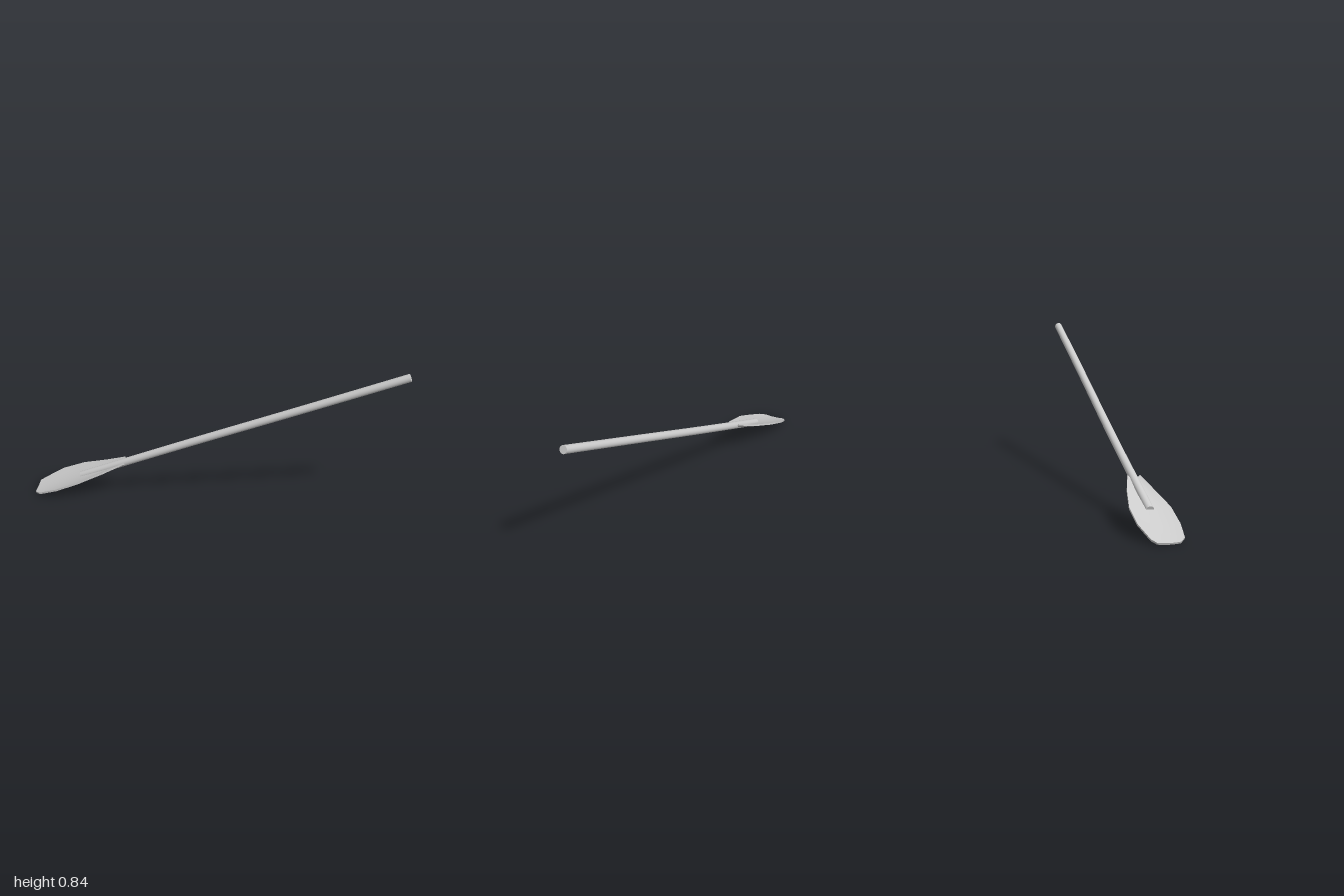
import * as THREE from 'three';
import { toCreasedNormals } from 'three/addons/utils/BufferGeometryUtils.js';

const material = new THREE.MeshStandardMaterial({ color: 0xcccccc });

function addMesh(parent, name, geometry) {
  const mesh = new THREE.Mesh(geometry, material);
  mesh.name = name;
  parent.add(mesh);
  return mesh;
}

// Round pole, very slightly bowed, with flat ends
function createShaft() {
  const shaft = new THREE.Group();
  shaft.name = 'shaft';
  const radius = 0.021, sides = 20;
  const path = new THREE.CatmullRomCurve3([
    new THREE.Vector3(-0.746, 0.105, -0.016),
    new THREE.Vector3(-0.155, 0.35, 0.021),
    new THREE.Vector3(0.425, 0.59, 0.066),
    new THREE.Vector3(0.991, 0.825, 0.107),
  ]);
  addMesh(shaft, 'pole', new THREE.TubeGeometry(path, 12, radius, sides));
  for (const [name, t, sign] of [['lowerEnd', 0, -1], ['gripEnd', 1, 1]]) {
    const cap = addMesh(shaft, name, new THREE.CircleGeometry(radius, sides));
    cap.position.copy(path.getPoint(t));
    cap.quaternion.setFromUnitVectors(
      new THREE.Vector3(0, 0, 1), path.getTangent(t).multiplyScalar(sign));
  }
  return shaft;
}

// Thin dished blade, lofted through stations from neck to tip
function createBladeGeometry() {
  // x, left edge z and y, middle y, right edge z and y
  const stations = [
    [-0.498, 0.035, 0.215, 0.200, -0.033, 0.220],
    [-0.61, 0.062, 0.165, 0.153, -0.080, 0.171],
    [-0.75, 0.091, 0.108, 0.101, -0.124, 0.122],
    [-0.87, 0.087, 0.057, 0.048, -0.132, 0.076],
    [-0.97, 0.064, 0.019, 0.016, -0.106, 0.026],
    [-0.997, 0.033, 0.009, 0.008, -0.086, 0.015],
  ];
  const across = 6, half = 0.005;
  const slope = Math.atan(0.414);
  const dx = -Math.sin(slope) * half, dy = Math.cos(slope) * half;
  const ring = 2 * (across + 1);
  const positions = [], index = [];

  for (const [x, zl, yl, ym, zr, yr] of stations) {
    const point = (i, side) => {
      const t = i / across;
      const bow = 4 * t * (1 - t);
      const y = THREE.MathUtils.lerp(yl, yr, t) + bow * (ym - (yl + yr) / 2);
      positions.push(x + side * dx, y + side * dy, THREE.MathUtils.lerp(zl, zr, t));
    };
    for (let i = 0; i <= across; i++) point(i, 1);
    for (let i = across; i >= 0; i--) point(i, -1);
  }
  // Faces around each pair of neighbouring sections
  for (let s = 0; s < stations.length - 1; s++) {
    for (let i = 0; i < ring; i++) {
      const a = s * ring + i, b = s * ring + (i + 1) % ring;
      index.push(a, b, a + ring, b, b + ring, a + ring);
    }
  }
  // Close the neck and the tip
  const last = (stations.length - 1) * ring;
  for (let i = 0; i < across; i++) {
    const a = i, b = i + 1, c = ring - 2 - i, d = ring - 1 - i;
    index.push(a, c, b, a, d, c);
    index.push(last + a, last + b, last + c, last + a, last + c, last + d);
  }
  const geometry = new THREE.BufferGeometry();
  geometry.setAttribute('position', new THREE.Float32BufferAttribute(positions, 3));
  geometry.setIndex(index);
  return toCreasedNormals(geometry, 0.5);
}

export function createModel() {
  const oar = new THREE.Group();
  oar.name = 'oar';
  oar.add(createShaft());
  addMesh(oar, 'blade', createBladeGeometry());
  return oar;
}
